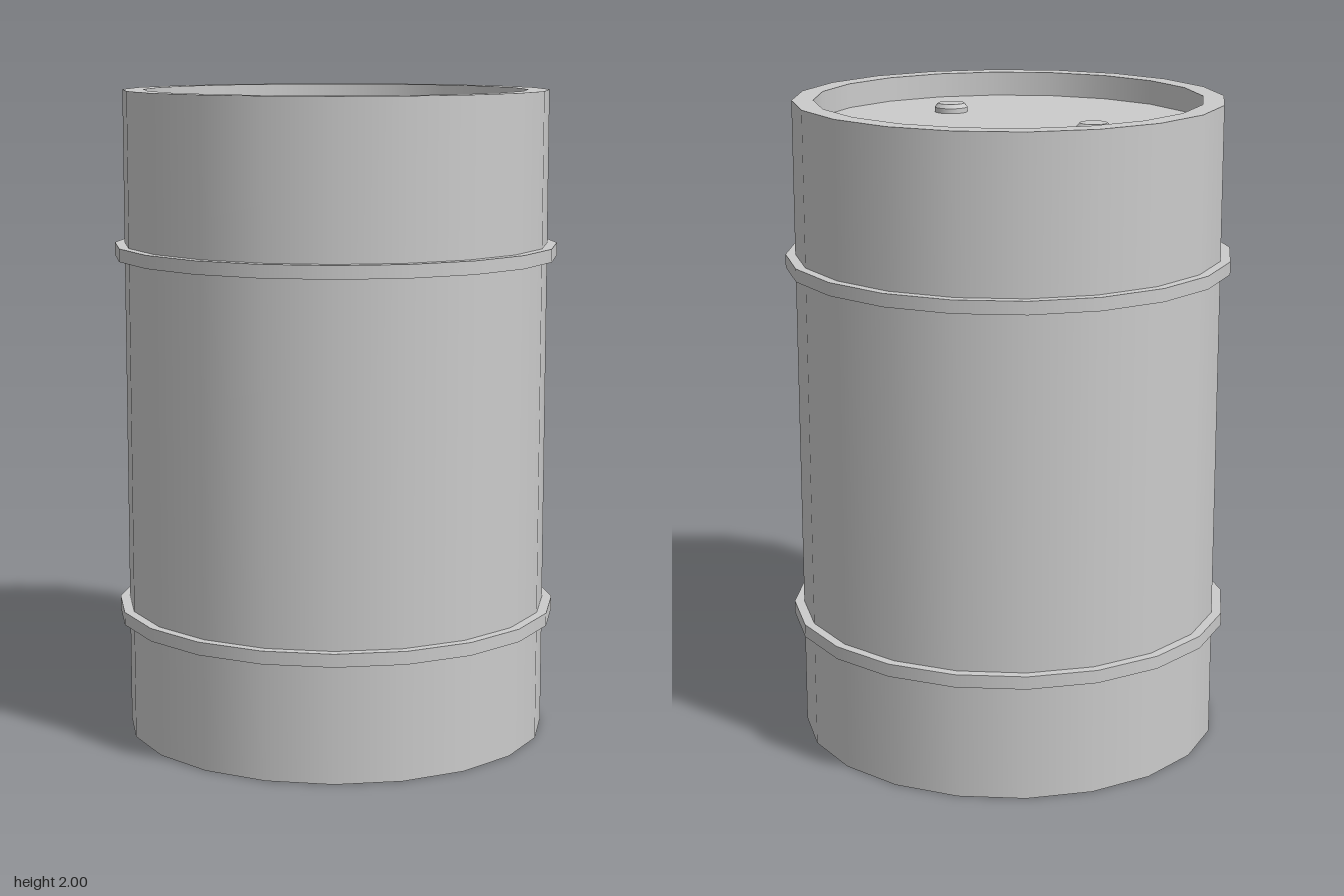
import * as THREE from 'three';
import { mergeGeometries } from 'three/addons/utils/BufferGeometryUtils.js';

const material = new THREE.MeshStandardMaterial({ color: 0xcccccc });

// Lathe each profile segment on its own: smooth around, sharp between segments
function turned(name, profile, sides) {
  const bands = [];
  for (let i = 0; i < profile.length - 1; i++) {
    const pair = [profile[i], profile[i + 1]].map(([r, y]) => new THREE.Vector2(r, y));
    bands.push(new THREE.LatheGeometry(pair, sides));
  }
  const mesh = new THREE.Mesh(mergeGeometries(bands), material);
  mesh.name = name;
  return mesh;
}

export function createModel() {
  const drum = new THREE.Group();
  drum.name = 'drum';
  const sides = 20, radius = 0.655, lidY = 1.925;

  // Shell with flat base, raised rim and sunken lid
  drum.add(turned('shell', [
    [0, 0], [radius, 0], [radius, 2], [0.59, 2], [0.59, lidY], [0, lidY],
  ], sides));

  // Two rolling hoops
  [['lowerHoop', 0.383], ['upperHoop', 1.51]].forEach(([name, y]) => {
    const hoop = turned(name, [
      [radius - 0.01, -0.02], [0.685, -0.02], [0.685, 0.02], [radius - 0.01, 0.02],
    ], sides);
    hoop.position.y = y;
    drum.add(hoop);
  });

  // Large bung on a washer
  const largeBung = turned('largeBung', [
    [0.065, 0], [0.065, 0.016], [0.051, 0.016], [0.051, 0.03], [0.041, 0.042], [0, 0.042],
  ], 24);
  largeBung.position.set(-0.365, lidY, 0.012);

  // Small vent bung
  const smallBung = turned('smallBung', [
    [0.051, 0], [0.051, 0.015], [0.041, 0.027], [0, 0.027],
  ], 24);
  smallBung.position.set(0.293, lidY, 0.012);

  drum.add(largeBung, smallBung);
  return drum;
}
